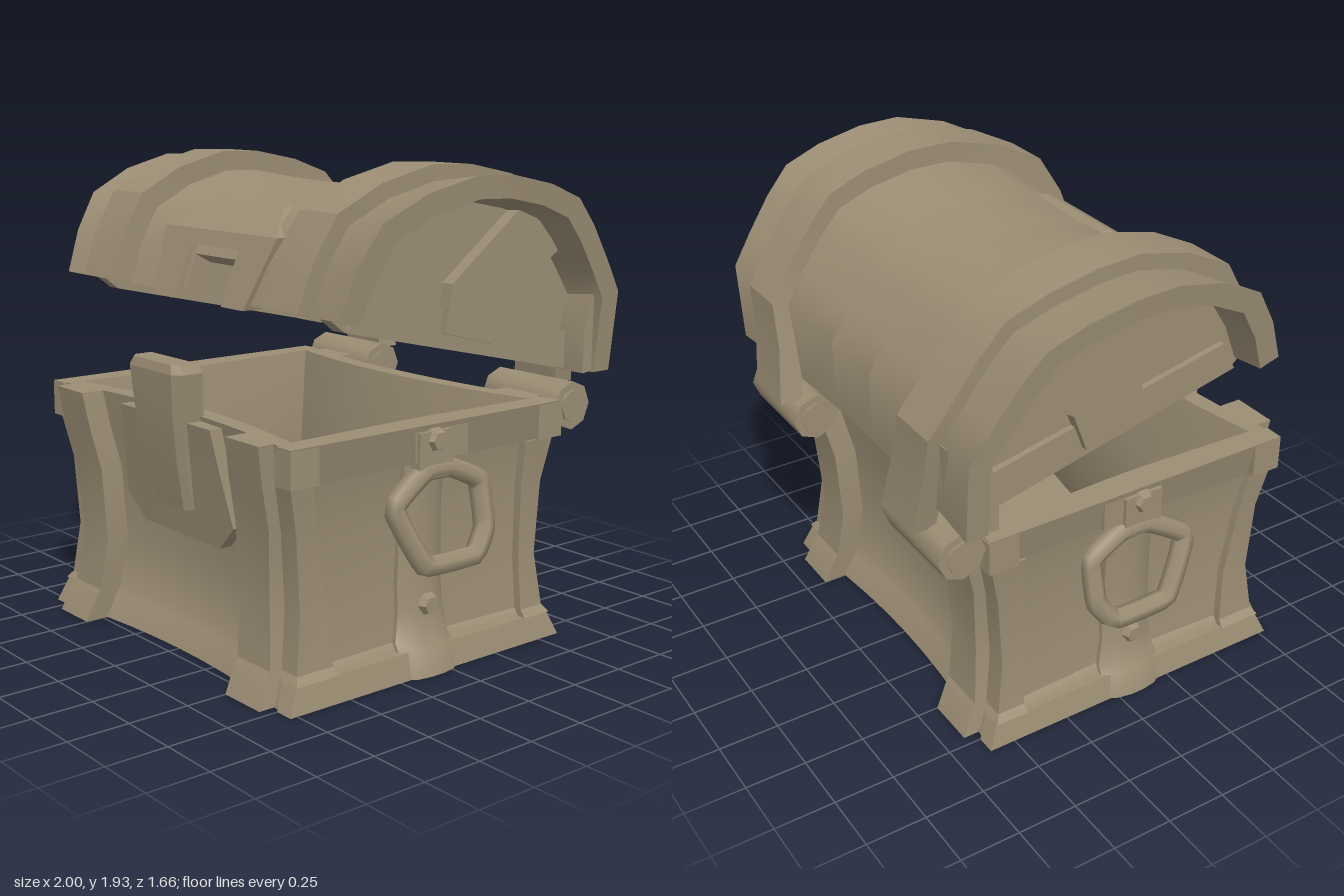
import * as THREE from 'three';
import { toCreasedNormals } from 'three/addons/utils/BufferGeometryUtils.js';

const wood = new THREE.MeshStandardMaterial({ color: 0x9b8d74 });
wood.name = 'weathered khaki';

// Piecewise-linear lookup in [[key, value], ...]
function lerp(table, k) {
  if (k <= table[0][0]) return table[0][1];
  for (let i = 1; i < table.length; i++) {
    const [a, va] = table[i - 1], [b, vb] = table[i];
    if (k <= b) return va + (vb - va) * (k - a) / (b - a);
  }
  return table[table.length - 1][1];
}

// Closed solid through matching rings; end caps pair point i with point n-1-i
function loft(rings, crease = 0.6) {
  const pos = [], n = rings[0].length;
  const quad = (a, b, c, d) => pos.push(...a, ...b, ...c, ...a, ...c, ...d);
  for (let r = 0; r + 1 < rings.length; r++)
    for (let i = 0; i < n; i++) {
      const j = (i + 1) % n;
      quad(rings[r][i], rings[r][j], rings[r + 1][j], rings[r + 1][i]);
    }
  const A = rings[0], B = rings[rings.length - 1];
  for (let i = 0; i < n / 2 - 1; i++) {
    quad(A[n - 1 - i], A[n - 2 - i], A[i + 1], A[i]);
    quad(B[i], B[i + 1], B[n - 2 - i], B[n - 1 - i]);
  }
  return solid(pos, crease);
}

// Turn the faces outward (positive volume) and crease the normals
function solid(pos, crease) {
  let vol = 0;
  const v = [0, 1, 2].map(() => new THREE.Vector3());
  for (let i = 0; i < pos.length; i += 9) {
    v.forEach((p, k) => p.fromArray(pos, i + 3 * k));
    vol += v[0].dot(v[1].clone().cross(v[2]));
  }
  if (vol < 0)
    for (let i = 0; i < pos.length; i += 9)
      for (let k = 0; k < 3; k++) [pos[i + 3 + k], pos[i + 6 + k]] = [pos[i + 6 + k], pos[i + 3 + k]];
  const g = new THREE.BufferGeometry();
  g.setAttribute('position', new THREE.Float32BufferAttribute(pos, 3));
  return toCreasedNormals(g, crease);
}

// Flat outline given thickness, each corner placed by map(u, v, w)
function plate(outline, w0, w1, map) {
  const shape = new THREE.Shape(outline.map(p => new THREE.Vector2(...p)));
  const g = new THREE.ExtrudeGeometry(shape, { depth: w1 - w0, bevelEnabled: false, steps: 1 });
  const src = (g.index ? g.toNonIndexed() : g).attributes.position, pos = [];
  for (let i = 0; i < src.count; i++) pos.push(...map(src.getX(i), src.getY(i), src.getZ(i) + w0));
  return solid(pos, 0.4);
}

// Body half sizes by height
const Z0 = 0.085, DIP = 0.08;
const halfZ = [[0, 0.695], [0.1, 0.65], [0.13, 0.63], [0.35, 0.60], [0.65, 0.62], [0.83, 0.66], [0.98, 0.685]];
const halfX = [[0, 0.81], [0.1, 0.785], [0.13, 0.76], [0.35, 0.74], [0.65, 0.745], [0.83, 0.765], [0.98, 0.8]];
const hz = y => lerp(halfZ, y), hx = y => lerp(halfX, y);
const levels = halfZ.map(p => p[0]);

// Lid profile (z, y) from front edge over to back edge, scaled about a centre
const lidProfile = [[0.63, 1.425], [0.565, 1.6], [0.47, 1.755], [0.28, 1.85], [0.06, 1.905], [-0.12, 1.9],
  [-0.32, 1.86], [-0.48, 1.80], [-0.58, 1.69], [-0.68, 1.55], [-0.765, 1.42], [-0.76, 1.1]];
const CZ = -0.07, CY = 1.25;
const scaled = ([z, y], sz, sy = sz) => [CZ + (z - CZ) * sz, y < CY ? y : CY + (y - CY) * sy];

export function createModel() {
  const root = new THREE.Group();
  const add = (name, geo, parent) => {
    const m = new THREE.Mesh(geo, wood);
    m.name = name;
    parent.add(m);
    return m;
  };
  const body = new THREE.Group(), lid = new THREE.Group();
  body.name = 'body';
  lid.name = 'lid';
  root.add(body, lid);

  // Hollow box with inward-curving walls
  const ring = (y, inset) => {
    const w = hx(y) - inset, d = hz(y) - inset, front = [], back = [];
    for (let i = 0; i <= 10; i++) {
      const t = i / 5 - 1, z = d - DIP * (1 - t * t);
      front.push([t * w, y, Z0 + z]);
      back.unshift([t * w, y, Z0 - z]);
    }
    return [[-w + 0.02, y, Z0 + 0.1], ...front, [w - 0.02, y, Z0 + 0.1],
      [w - 0.02, y, Z0 - 0.1], ...back, [-w + 0.02, y, Z0 - 0.1]];
  };
  add('box', loft([...levels.map(y => ring(y, 0)),
    ...[0.98, 0.65, 0.35, 0.1].map(y => ring(y, 0.08))], 0.5), body);

  for (const s of [1, -1]) {
    // Upright straps with flared feet on front and back
    for (const f of [1, -1])
      add(f > 0 ? 'frontStrap' : 'backStrap', loft(levels.map(y => {
        const a = s * lerp([[0, 0.5], [0.35, 0.47], [0.65, 0.47], [0.98, 0.5]], y);
        const b = s * lerp([[0, 0.71], [0.35, 0.65], [0.98, 0.70]], y);
        const z0 = Z0 + f * (hz(y) - 0.08), z1 = Z0 + f * (hz(y) + 0.05);
        return [[a, y, z0], [b, y, z0], [b, y, z1], [a, y, z1]];
      }), 0.3), body);

    // Corner posts beside the recessed side panel
    for (const f of [1, -1])
      add('cornerPost', loft(levels.slice(1, 6).map(y => {
        const a = f > 0 ? lerp([[0.1, 0.55], [0.35, 0.57], [0.83, 0.65]], y) : -0.43;
        const b = Z0 + f * (hz(y) + 0.005), x0 = s * (hx(y) - 0.06), x1 = s * (hx(y) + 0.03);
        return [[x0, y, a], [x0, y, b], [x1, y, b], [x1, y, a]];
      }), 0.3), body);

    // Side rails at the rim and foot
    for (const [name, y0, y1] of [['rimRail', 0.83, 0.98], ['footRail', 0, 0.1]])
      add(name, loft([y0, y1].map(y => {
        const d = hz(y), x0 = s * (hx(y) - 0.06), x1 = s * (hx(y) + 0.02);
        return [[x0, y, Z0 - d], [x0, y, Z0 + d], [x1, y, Z0 + d], [x1, y, Z0 - d]];
      })), body);
    for (const z of [0.705, -0.54])
      add('cornerCap', new THREE.BoxGeometry(0.09, 0.14, 0.13), body).position.set(s * 0.775, 0.905, z);

    // Rounded side strap, handle bracket and rivets
    add('sideStrap', loft([0, 0.1, 0.13, 0.25, 0.35, 0.65, 0.83].map(y => {
      const h = lerp([[0, 0.15], [0.1, 0.14], [0.25, 0.115], [0.83, 0.1]], y), x = hx(y);
      return [[-0.06, -1], [0.0, -1], [0.035, -0.6], [0.045, -0.2], [0.045, 0.2], [0.035, 0.6], [0.0, 1], [-0.06, 1]]
        .map(([dx, k]) => [s * (x + dx), y, Z0 + k * h]);
    }), 0.8), body);
    add('bracketPlate', new THREE.BoxGeometry(0.06, 0.13, 0.27), body).position.set(s * 0.785, 0.905, 0.045);
    add('bracket', new THREE.BoxGeometry(0.09, 0.18, 0.17), body).position.set(s * 0.785, 0.865, 0.085);
    for (const [y, x] of [[0.92, 0.83], [0.27, 0.795]]) {
      const rivet = add('rivet', toCreasedNormals(new THREE.CylinderGeometry(0.035, 0.055, 0.045, 6), 0.4), body);
      rivet.rotation.z = -s * Math.PI / 2;
      rivet.position.set(s * x, y, 0.085);
    }

    // Angular pull ring hanging outward
    const pts = [[0.12, 0.80], [0.295, 0.69], [0.18, 0.46], [-0.07, 0.455], [-0.145, 0.55], [-0.145, 0.73], [0, 0.80]]
      .map(([z, y]) => new THREE.Vector3(s * (0.795 + (0.83 - y) * 0.22), y, z));
    add('handle', new THREE.TubeGeometry(
      new THREE.CatmullRomCurve3(pts, true, 'catmullrom', 0.15), 42, 0.043, 6, true), body);

    // Hinge barrel
    for (const [r, len] of [[0.1, 0.41], [0.068, 0.43]]) {
      const barrel = add('hinge', toCreasedNormals(new THREE.CylinderGeometry(r, r, len, 8), 0.9), body);
      barrel.rotation.z = Math.PI / 2;
      barrel.position.set(s * 0.585, 0.94, -0.70);
    }
  }

  // Front lock plate and tongue
  add('lockPlate', plate([[-0.31, 0.96], [-0.33, 0.8], [-0.37, 0.58], [-0.26, 0.475], [0.26, 0.475],
    [0.37, 0.58], [0.33, 0.8], [0.31, 0.96]], -0.04, 0.055,
  (u, v, w) => [u, v, Z0 + hz(v) - DIP + DIP * (u / 0.8) ** 2 + w]), body);
  add('lockTongue', loft([[0.6, 0.12, 0.62, 0.73], [0.8, 0.14, 0.64, 0.77], [1.0, 0.165, 0.68, 0.80],
    [1.15, 0.18, 0.69, 0.81], [1.185, 0.16, 0.70, 0.80]].map(([y, h, a, b]) =>
    [[-h, y, a], [h, y, a], [h, y, b - 0.025], [h * 0.8, y, b], [-h * 0.8, y, b], [-h, y, b - 0.025]]), 0.3), body);

  // Saddle-shaped lid shell in three runs, the middle one cut short for the tongue
  const section = (t, from) => {
    const s = 0.88 + 0.12 * t * t;
    const point = k => p => {
      // The waist is shallower at the rear
      const [z, y] = scaled(p, k * (p[0] < CZ ? 0.4 + 0.6 * s : s), k * s);
      return [t * (0.92 + 0.08 * (y - 1.1) / 0.8 - 0.07 * Math.max(z, 0)), y, z];
    };
    const part = lidProfile.slice(from);
    return [...part.map(point(1)), ...part.map(point(0.87)).reverse()];
  };
  for (const [ts, from] of [[[-1, -0.8, -0.6, -0.4, -0.16], 0], [[-0.16, 0, 0.16], 1], [[0.16, 0.4, 0.6, 0.8, 1], 0]])
    add('lidShell', loft(ts.map(t => section(t, from)), 0.75), lid);

  for (const s of [1, -1]) {
    // Strap over the lid, running down to the hinge
    const path = [...lidProfile.slice(0, -1), [-0.77, 1.24], [-0.8, 1.01]], n = path.length - 1;
    add('lidStrap', loft(path.map((p, i) => {
      const k = i / n;
      const a = s * lerp([[0, 0.5], [0.45, 0.56], [0.8, 0.53], [1, 0.43]], k);
      const b = s * lerp([[0, 0.72], [0.45, 0.78], [0.8, 0.75], [1, 0.66]], k);
      const [z0, y0] = scaled(p, 0.91), [z1, y1] = scaled(p, 1.045);
      return [[a, y0, z0], [b, y0, z0], [b, y1, z1], [a, y1, z1]];
    }), 0.5), lid);

    // Recessed end panel, bottom trim, bent brace and thick rear corner
    const rear = [[-0.62, 1.1], [-0.62, 1.27], [-0.66, 1.41], [-0.75, 1.4], [-0.74, 1.11]];
    for (const [name, outline, x0, x1] of [
      ['lidEndPanel', [[0.5, 1.36], ...lidProfile.map(p => scaled(p, 0.9)), [-0.64, 1.1]], 0.72, 0.785],
      ['lidEndTrim', [[0.5, 1.37], [0.44, 1.49], [-0.62, 1.26], [-0.65, 1.1]], 0.715, 0.81],
      ['lidEndBrace', [[0.06, 1.32], [0.03, 1.5], [-0.33, 1.77], [-0.57, 1.61], [-0.26, 1.41], [-0.2, 1.25]], 0.74, 0.84],
      ['lidRearCorner', rear, 0.73, 0.91]])
      add(name, plate(outline, x0, x1, (u, v, w) => [s * w, v, u]), lid);
  }

  // Notched catch plate on the lid front: a tapered bar with two legs
  const catchZ = [[1.39, 0.57], [1.66, 0.46], [1.76, 0.31]];
  const catchPart = rows => add('lidCatchPlate', loft(rows.map(([y, a, b]) => {
    const z = lerp(catchZ, y);
    return [[a, y, z - 0.08], [b, y, z - 0.08], [b, y, z + 0.02], [a, y, z + 0.02]];
  }), 0.3), lid);
  catchPart([[1.6, -0.356, 0.356], [1.66, -0.37, 0.37], [1.76, -0.22, 0.22]]);
  for (const s of [1, -1]) catchPart([[1.39, s * 0.16, s * 0.3], [1.6, s * 0.16, s * 0.356]]);

  return root;
}
